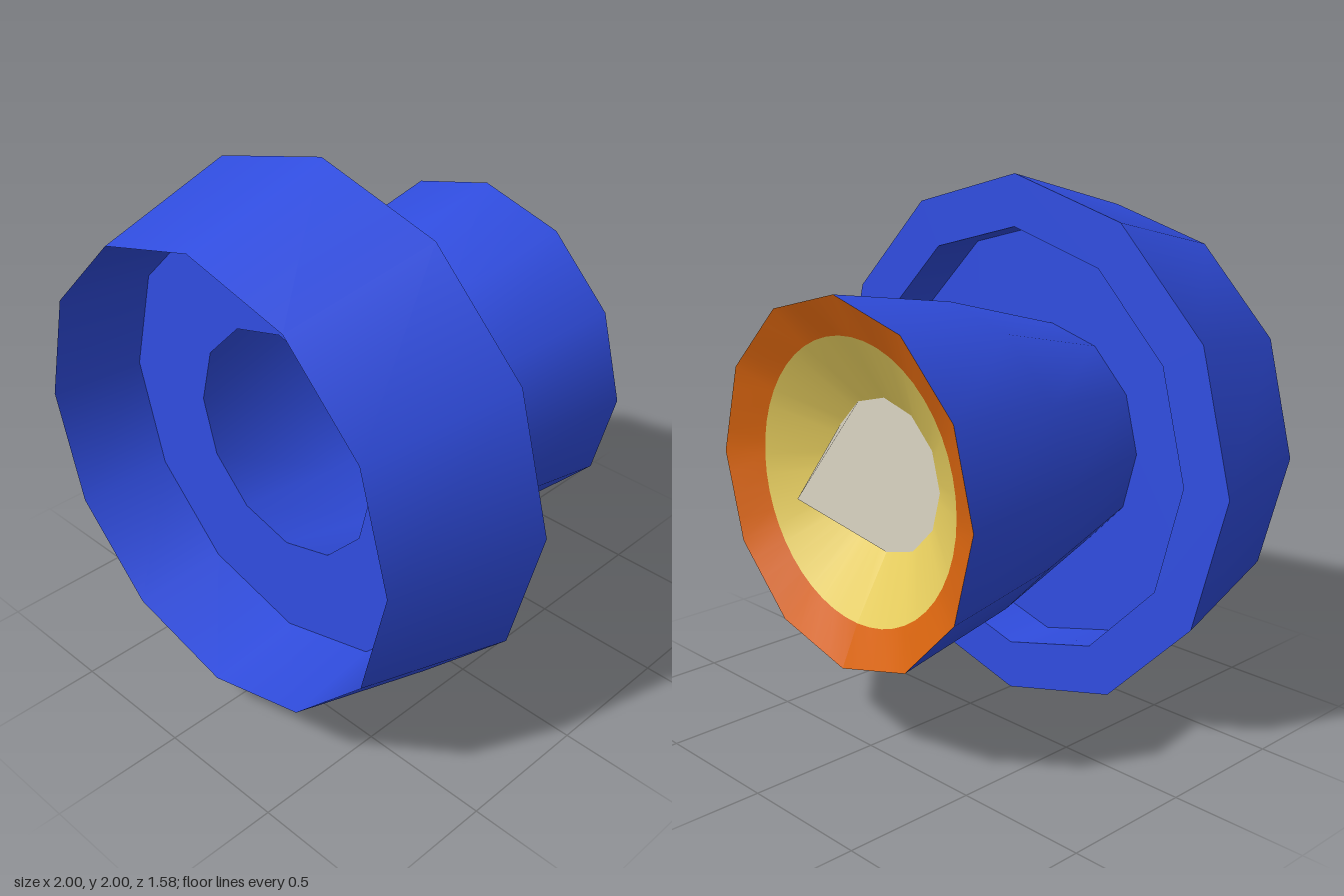
import * as THREE from 'three';

const SIDES = 12;
const paint = (name, color) => {
  const m = new THREE.MeshStandardMaterial({ color, side: THREE.DoubleSide });
  m.name = name;
  return m;
};

// Turns a profile of [radius, z] points around the z axis
function turned(profile, segments = SIDES) {
  const points = profile.map(([r, z]) => new THREE.Vector2(r, z));
  return new THREE.LatheGeometry(points, segments).rotateX(Math.PI / 2);
}

// Round ring whose chosen profile rows are squared off to the twelve-sided outline
function flameRing(profile, polygonRows) {
  const geo = turned(profile, SIDES * 4);
  const pos = geo.attributes.position;
  const step = (Math.PI * 2) / SIDES;
  for (let i = 0; i < pos.count; i++) {
    if (!polygonRows.includes(i % profile.length)) continue;
    const angle = Math.atan2(pos.getY(i), pos.getX(i)) + Math.PI * 2 + 1e-6;
    const k = Math.cos(step / 2) / Math.cos((angle % step) - step / 2);
    pos.setXY(i, pos.getX(i) * k, pos.getY(i) * k);
  }
  geo.computeVertexNormals();
  return geo;
}

export function createModel() {
  const blue = paint('blue shell', 0x304de0);
  const orange = paint('orange glow', 0xd8640f);
  const yellow = paint('yellow glow', 0xe6cd5e);
  const white = paint('white core', 0xdad4c3);

  const model = new THREE.Group();
  model.name = 'thruster';
  const body = new THREE.Group();
  body.position.y = 1;
  model.add(body);

  const add = (name, geo, mat) => {
    const mesh = new THREE.Mesh(geo, mat);
    mesh.name = name;
    body.add(mesh);
  };

  // Wide collar: separate bands keep the edges sharp
  add('collarOuterWall', turned([[1, 0.22], [0.85, 0.79]]), blue);
  add('collarFrontInnerWall', turned([[0.85, 0.79], [0.81, 0.43]]), blue);
  add('collarBackRing', turned([[0.81, 0.22], [1, 0.22]]), blue);
  add('collarBackInnerWall', turned([[0.81, 0.43], [0.81, 0.22]]), blue);
  add('collarPlate', turned([[0.81, 0.43], [0.43, 0.43]]), blue);

  // Open nozzle flaring towards the back
  add('nozzle', turned([[0.66, -0.62], [0.575, -0.1], [0.43, 0.43]]), blue);

  // Glowing bowl that closes the nozzle
  add('outerGlow', flameRing([[0.51, -0.55], [0.66, -0.62]], [1]), orange);
  add('innerGlow', flameRing([[0.28, -0.41], [0.51, -0.55]], [0]), yellow);

  // Core: a disc with its centre drawn out to a point
  const core = new THREE.CircleGeometry(0.28, SIDES).rotateY(Math.PI);
  core.translate(0, 0, -0.41);
  core.attributes.position.setZ(0, -0.79);
  add('glowCore', core, white);

  return model;
}
